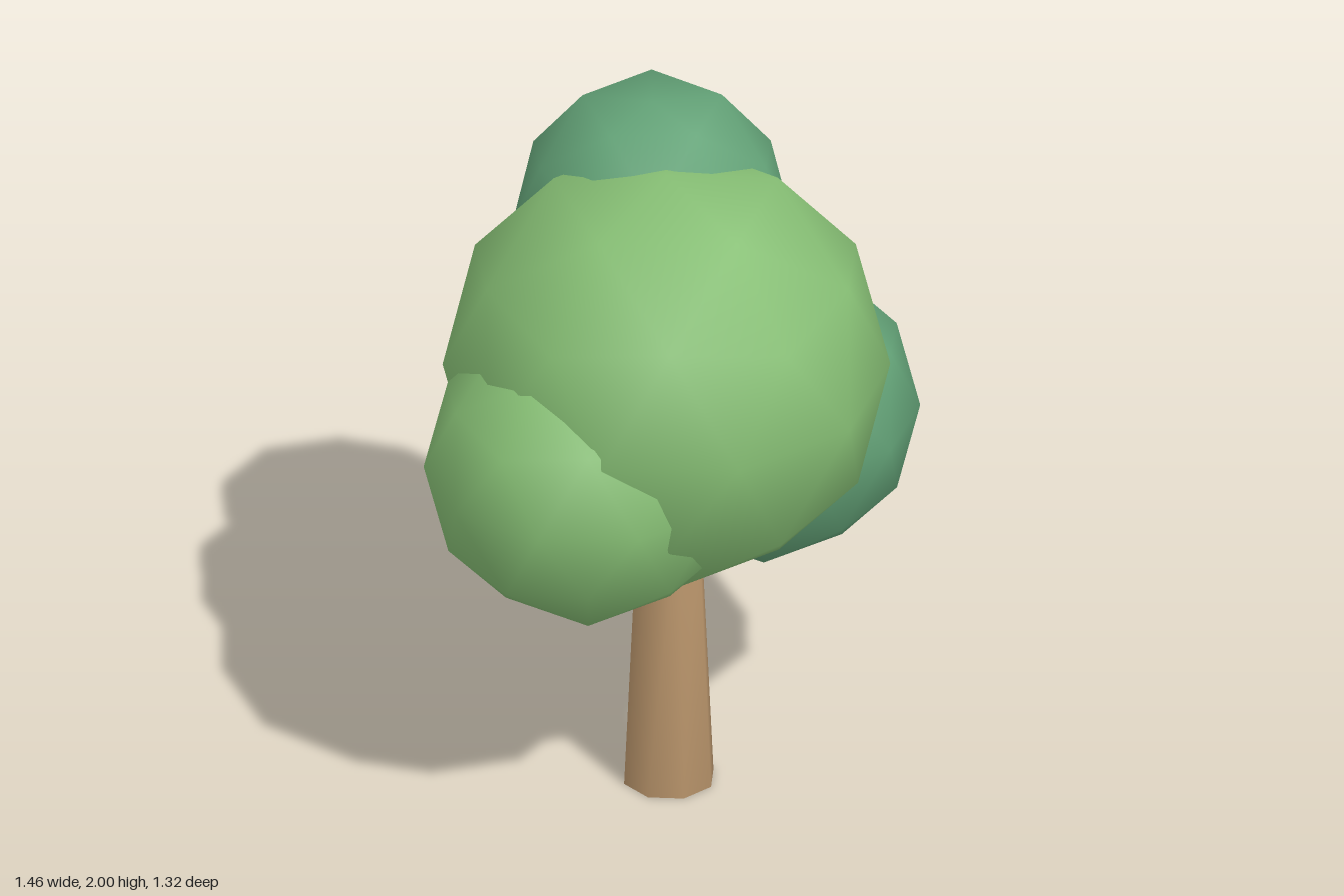
import * as THREE from 'three';
import { mergeVertices } from 'three/addons/utils/BufferGeometryUtils.js';

const LIGHT = 0x86be74;
const DARK = 0x63a277;
const BARK = 0xbb966c;

// Welds all corners so that the shading runs smoothly over every edge
function smooth(geometry) {
  geometry.deleteAttribute('normal');
  geometry.deleteAttribute('uv');
  const welded = mergeVertices(geometry);
  welded.computeVertexNormals();
  return welded;
}

function addMesh(group, name, geometry, color, position) {
  const mesh = new THREE.Mesh(smooth(geometry), new THREE.MeshStandardMaterial({ color }));
  mesh.name = name;
  mesh.position.set(...position);
  group.add(mesh);
}

// Low-poly ball with a corner pointing straight up, its two poles pressed in,
// stretched per axis
function leafBall(radii, pole) {
  const goldenRatio = (1 + Math.sqrt(5)) / 2;
  const geometry = new THREE.IcosahedronGeometry(1, 1);
  geometry.rotateZ(-Math.atan(1 / goldenRatio));
  const points = geometry.attributes.position;
  for (let i = 0; i < points.count; i++) {
    const y = points.getY(i);
    if (Math.abs(y) > 0.95) points.setY(i, y * pole);
  }
  geometry.scale(...radii);
  return geometry;
}

export function createModel() {
  const tree = new THREE.Group();
  tree.name = 'tree';

  // Tapered eight-sided trunk, its top hidden in the leaves
  const height = 0.9;
  addMesh(tree, 'trunk', new THREE.CylinderGeometry(0.09, 0.132, height, 8), BARK, [-0.01, height / 2, 0.04]);

  // Overlapping clumps of leaves: centre, radii, pole height
  const clumps = [
    ['mainFoliage', LIGHT, [-0.01, 1.32, 0.02], [0.625, 0.635, 0.64], 0.96],
    ['rightFoliage', LIGHT, [-0.29, 1.12, 0.16], [0.46, 0.45, 0.45], 0.94],
    ['leftFoliage', DARK, [0.31, 1.07, -0.08], [0.44, 0.44, 0.43], 0.91],
    ['topFoliage', DARK, [0.045, 1.62, -0.265], [0.39, 0.43, 0.395], 0.885],
  ];
  for (const [name, color, centre, radii, pole] of clumps) {
    addMesh(tree, name, leafBall(radii, pole), color, centre);
  }
  return tree;
}
